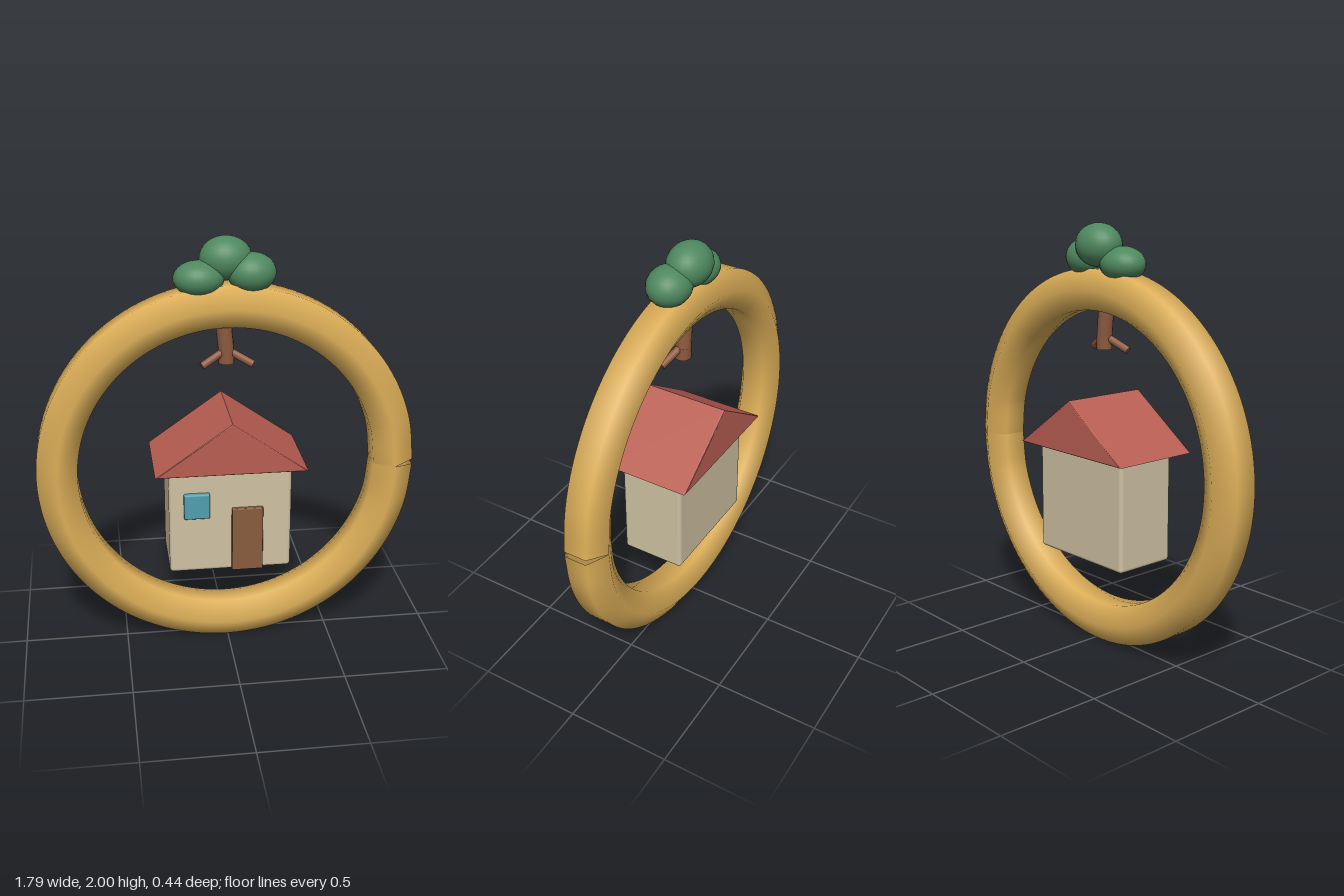
import * as THREE from 'three';
import { RoundedBoxGeometry } from 'three/addons/geometries/RoundedBoxGeometry.js';

const paint = (name, color, side = THREE.FrontSide) => {
  const m = new THREE.MeshStandardMaterial({ color, side });
  m.name = name;
  return m;
};

export function createModel() {
  const gold = paint('gold', 0xdcae58, THREE.DoubleSide);
  const cream = paint('cream', 0xcfc2a2);
  const red = paint('roof red', 0xb95e52);
  const doorBrown = paint('door brown', 0x8a5c3e);
  const bark = paint('bark', 0x8c5a3f);
  const blue = paint('window blue', 0x529fb0);
  const green = paint('leaf green', 0x4f885f);

  const model = new THREE.Group();
  model.name = 'houseInRing';
  const add = (name, geometry, material, x = 0, y = 0, z = 0, parent = model) => {
    const mesh = new THREE.Mesh(geometry, material);
    mesh.name = name;
    mesh.position.set(x, y, z);
    parent.add(mesh);
    return mesh;
  };
  const v = (x, y, z = 0) => new THREE.Vector3(x, y, z);

  // Six-sided ring; its open ends tilt slightly and leave a notch on the +x side
  const ringPoints = Array.from({ length: 25 }, (_, i) => {
    const a = (i / 24) * Math.PI * 2;
    return v(0.8 * Math.cos(a), 0.8 * Math.sin(a));
  });
  const ringPath = new THREE.CatmullRomCurve3(ringPoints);
  add('ring', new THREE.TubeGeometry(ringPath, 120, 0.11, 6, false), gold, 0, 0.898, 0);

  // House
  const house = new THREE.Group();
  house.name = 'house';
  model.add(house);
  add('walls', new RoundedBoxGeometry(0.58, 0.535, 0.312, 3, 0.018), cream, 0, 0.694, 0, house);
  add('door', new RoundedBoxGeometry(0.148, 0.325, 0.03, 2, 0.005), doorBrown, 0.079, 0.592, 0.16, house);
  add('window', new RoundedBoxGeometry(0.122, 0.126, 0.03, 2, 0.008), blue, -0.16, 0.777, 0.165, house);

  // Gable roof with its ridge along z
  const gable = new THREE.Shape();
  gable.moveTo(-0.355, 0.952);
  gable.lineTo(0.355, 0.952);
  gable.lineTo(0, 1.203);
  gable.closePath();
  const bevel = 0.006;
  const roof = new THREE.ExtrudeGeometry(gable, {
    depth: 0.44 - 2 * bevel, bevelEnabled: true, bevelThickness: bevel,
    bevelSize: bevel, bevelOffset: -bevel, bevelSegments: 2,
  });
  add('roof', roof, red, 0, 0, -0.22 + bevel, house);

  // Tree growing through the top of the ring, roots hanging inside
  const tree = new THREE.Group();
  tree.name = 'tree';
  model.add(tree);
  const limb = (name, a, b, rA, rB) => {
    const dir = b.clone().sub(a);
    const mid = a.clone().add(b).multiplyScalar(0.5);
    const mesh = add(name, new THREE.CylinderGeometry(rB, rA, dir.length(), 12), bark, mid.x, mid.y, mid.z, tree);
    mesh.quaternion.setFromUnitVectors(v(0, 1), dir.normalize());
  };
  limb('trunkBase', v(0, 1.42), v(0, 1.48), 0.037, 0.037);
  limb('trunk', v(0, 1.465), v(-0.026, 1.75), 0.037, 0.037);
  for (const s of [-1, 1]) {
    limb(s < 0 ? 'rightRoot' : 'leftRoot', v(0, 1.485, 0), v(s * 0.118, 1.422, 0.042), 0.018, 0.018);
  }

  // Foliage: centre and radii of each clump
  const clumps = [
    ['middleFoliage', 0, 1.9, -0.033, 0.12, 0.1, 0.1],
    ['rightFoliage', -0.125, 1.82, 0, 0.116, 0.08, 0.098],
    ['leftFoliage', 0.113, 1.84, 0, 0.112, 0.09, 0.1],
  ];
  for (const [name, x, y, z, rx, ry, rz] of clumps) {
    add(name, new THREE.SphereGeometry(1, 24, 16), green, x, y, z, tree).scale.set(rx, ry, rz);
  }
  return model;
}
